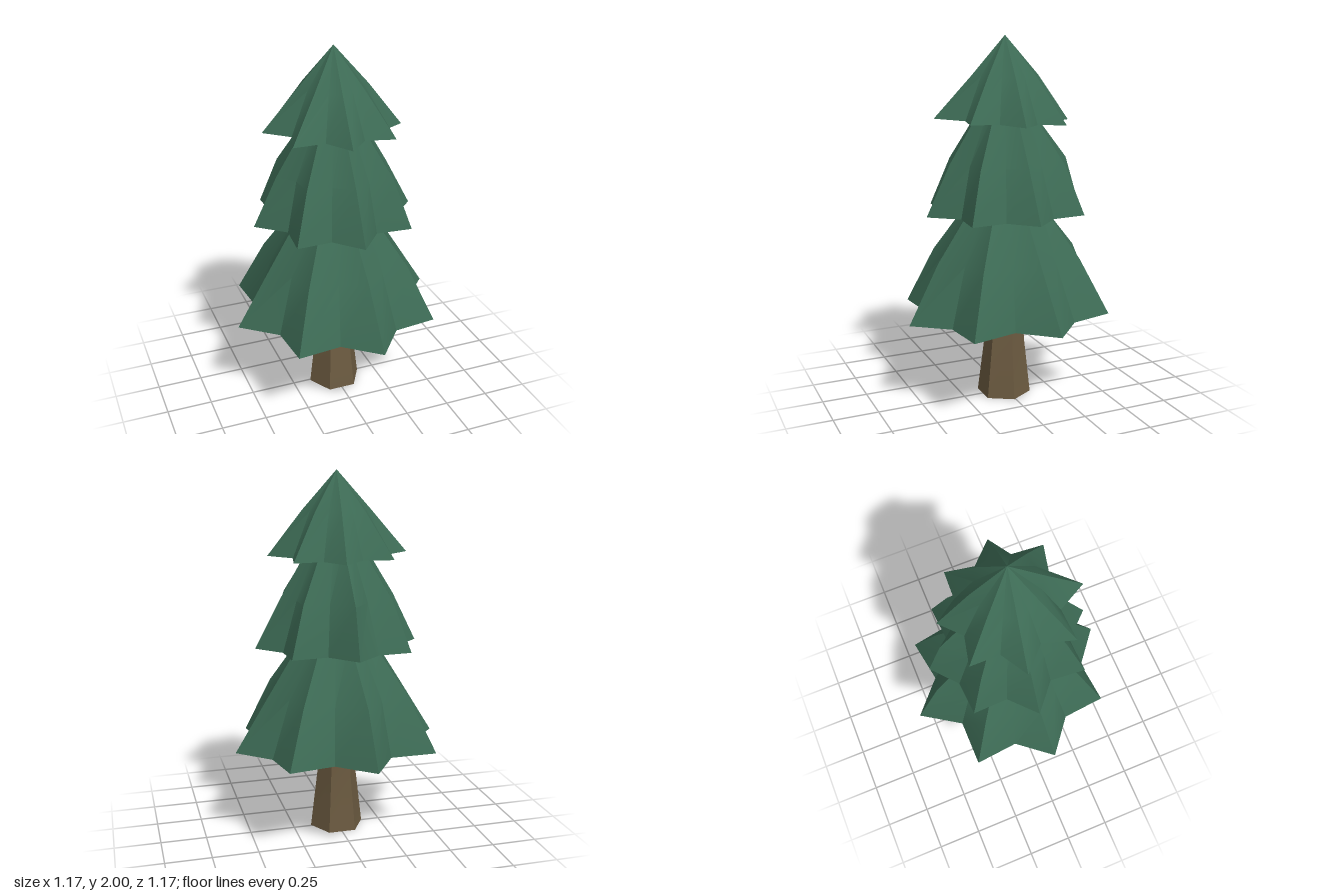
import * as THREE from 'three';
import { toCreasedNormals } from 'three/addons/utils/BufferGeometryUtils.js';

const V = (x, y, z) => new THREE.Vector3(x, y, z);

// Skin stacked rings (bottom to top), closing both ends with a fan.
function loft(rings, crease) {
  const pos = [];
  const tri = (...p) => p.forEach(v => pos.push(v.x, v.y, v.z));
  const middle = r => r.reduce((s, v) => s.add(v), V(0, 0, 0)).divideScalar(r.length);
  const n = rings[0].length;
  const top = rings[rings.length - 1];
  const c0 = middle(rings[0]), c1 = middle(top);
  for (let i = 0; i < n; i++) {
    const j = (i + 1) % n;
    for (let k = 0; k < rings.length - 1; k++) {
      const a = rings[k], b = rings[k + 1];
      tri(a[i], b[i], a[j]);
      tri(a[j], b[i], b[j]);
    }
    tri(c0, rings[0][i], rings[0][j]);
    tri(c1, top[j], top[i]);
  }
  const g = new THREE.BufferGeometry();
  g.setAttribute('position', new THREE.Float32BufferAttribute(pos, 3));
  return toCreasedNormals(g, crease);
}

// Ring alternating branch tips and valleys, with optional uneven radii.
function starRing({ y, tip, valley, turn, tilt = [0, 0], tips = [], valleys = [] }) {
  return Array.from({ length: 16 }, (_, i) => {
    const k = i >> 1, a = turn + i * Math.PI / 8;
    const r = i % 2 ? valleys[k] ?? valley : tips[k] ?? tip;
    const x = r * Math.cos(a), z = r * Math.sin(a);
    return V(x, y + tilt[0] * x + tilt[1] * z, z);
  });
}

// Each tier lists its rings upward; tips run from +x towards +z.
const TIERS = [
  { name: 'lowerFoliage', turn: -0.107, rings: [
    { y: 0.502, tip: 0.586, tilt: [0, -0.022],
      valleys: [0.427, 0.45, 0.45, 0.447, 0.45, 0.42, 0.434, 0.468] },
    { y: 0.81, valley: 0.345, tips: [0.39, 0.42, 0.41, 0.42, 0.39, 0.42, 0.45, 0.42] },
    { y: 1.12, tip: 0.19, valley: 0.17 }] },
  { name: 'middleFoliage', turn: 0, rings: [
    { y: 1.062, tip: 0.453, tilt: [0, -0.01],
      valleys: [0.34, 0.33, 0.34, 0.33, 0.34, 0.36, 0.33, 0.355] },
    { y: 1.33, valley: 0.265, tips: [0.31, 0.34, 0.32, 0.33, 0.32, 0.34, 0.37, 0.34] },
    { y: 1.62, tip: 0.14, valley: 0.125 }] },
  { name: 'topFoliage', turn: 0.12, rings: [
    { y: 1.558, valley: 0.265, tilt: [-0.02, 0.035],
      tips: [0.372, 0.37, 0.39, 0.39, 0.38, 0.37, 0.36, 0.363] },
    { y: 1.79, tip: 0.186, valley: 0.162 },
    { y: 2, tip: 0, valley: 0 }] },
];

export function createModel() {
  const tree = new THREE.Group();
  tree.name = 'tree';
  const leaves = new THREE.MeshStandardMaterial({ color: 0x3d6b55 });
  const bark = new THREE.MeshStandardMaterial({ color: 0x6b5a40 });

  // Six-sided trunk, tapering and leaning slightly back
  const trunkRings = [[0, 0.15, 0.008], [0.32, 0.112, 0.005], [0.56, 0.087, -0.018]]
    .map(([y, r, z]) => Array.from({ length: 6 }, (_, i) => {
      const a = i * Math.PI / 3;
      return V(r * Math.cos(a), y, z + r * Math.sin(a));
    }));
  const trunk = new THREE.Mesh(loft(trunkRings, 0.5), bark);
  trunk.name = 'trunk';
  tree.add(trunk);

  // Three star-shaped foliage tiers
  for (const { name, turn, rings } of TIERS) {
    const geometry = loft(rings.map(r => starRing({ ...r, turn })), 0.5);
    const tier = new THREE.Mesh(geometry, leaves);
    tier.name = name;
    tree.add(tier);
  }
  return tree;
}
